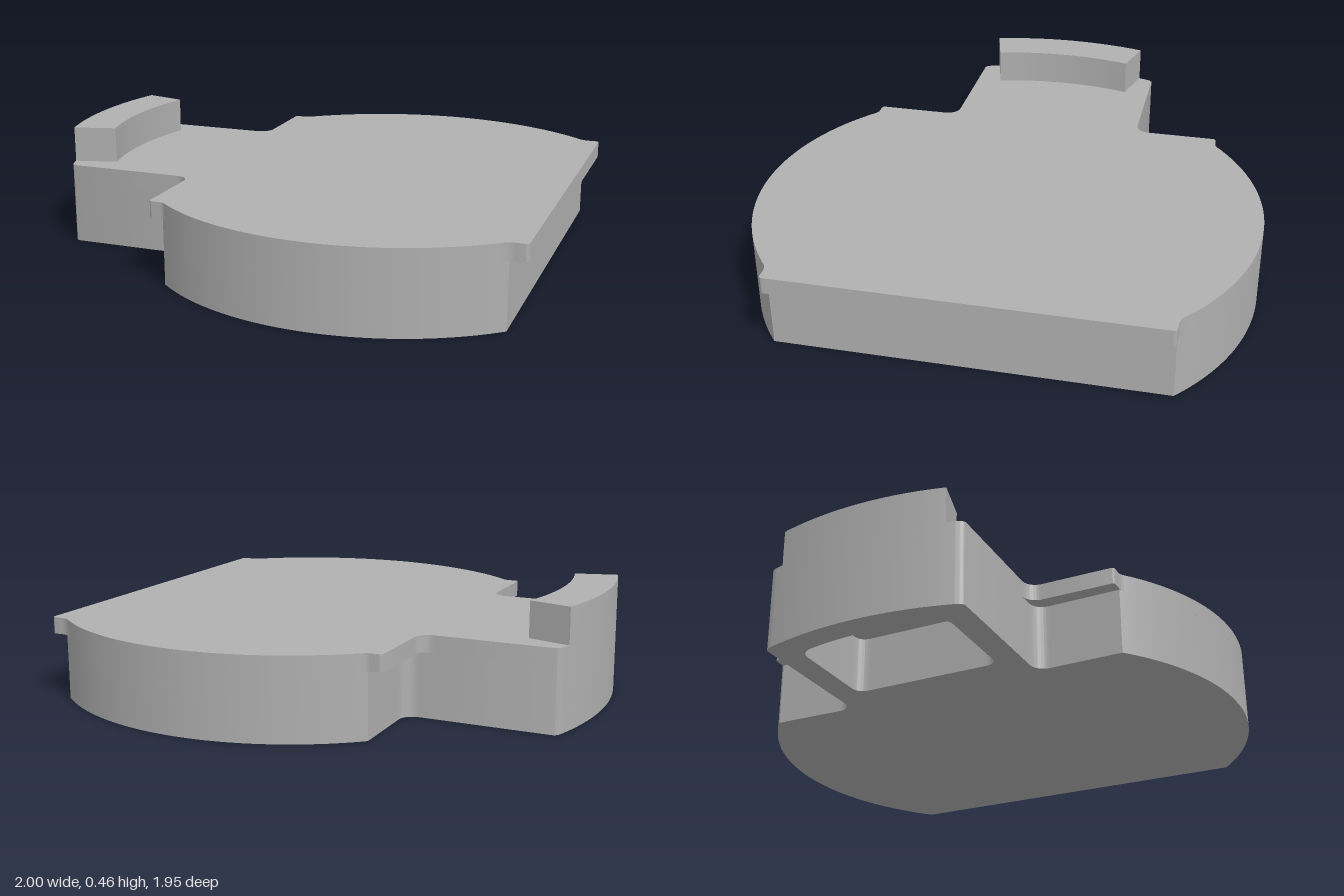
import * as THREE from 'three';
import { toCreasedNormals } from 'three/addons/utils/BufferGeometryUtils.js';

const CX = 0.29;      // shared centre of all arcs
const R = 0.977;      // round body
const R_OUT = 1.29;   // end of the arm
const ARM = 0.395;    // half width of the arm
const FILLET = 0.055;

// Outline drawn in x and z: a round body cut straight at both sides, plus the arm
function outline(x0, x1, lip) {
  const s = new THREE.Shape();
  const a = lip ? 0.872 : 0.85;
  const z = 0.737, r = 0.015;
  if (lip) {
    s.moveTo(x1, -z + r);
    s.lineTo(x1, z - r);
    s.quadraticCurveTo(x1, z, x1 - r, z);
    s.lineTo(x1 - 0.045, z);
    s.quadraticCurveTo(x1 - 0.06, z, CX + R * Math.cos(a), R * Math.sin(a));
  } else {
    s.moveTo(CX + R * Math.cos(a), -R * Math.sin(a));
    s.lineTo(CX + R * Math.cos(a), R * Math.sin(a));
  }
  s.absarc(CX, 0, R, a, Math.PI - a, false);
  if (lip) {
    s.quadraticCurveTo(x0 + 0.06, z, x0 + 0.045, z);
    s.lineTo(x0 + r, z);
    s.quadraticCurveTo(x0, z, x0, z - r);
  }
  // Arm with filleted roots and a curved end
  s.lineTo(x0, ARM + FILLET);
  s.absarc(x0 - FILLET, ARM + FILLET, FILLET, 0, -Math.PI / 2, true);
  s.lineTo(-0.92, ARM);
  const b = 0.292;
  const ex = CX - R_OUT * Math.cos(b), ez = R_OUT * Math.sin(b);
  s.quadraticCurveTo(-0.936, ARM, ex, ez);
  s.absarc(CX, 0, R_OUT, Math.PI - b, Math.PI + b, false);
  s.quadraticCurveTo(-0.936, -ARM, -0.92, -ARM);
  s.lineTo(x0 - FILLET, -ARM);
  s.absarc(x0 - FILLET, -ARM - FILLET, FILLET, Math.PI / 2, 0, true);
  if (lip) {
    s.lineTo(x0, -z + r);
    s.quadraticCurveTo(x0, -z, x0 + r, -z);
    s.lineTo(x0 + 0.045, -z);
    s.quadraticCurveTo(x0 + 0.06, -z, CX - R * Math.cos(a), -R * Math.sin(a));
  }
  s.absarc(CX, 0, R, Math.PI + a, 2 * Math.PI - a, false);
  if (lip) {
    s.quadraticCurveTo(x1 - 0.06, -z, x1 - 0.045, -z);
    s.lineTo(x1 - r, -z);
    s.quadraticCurveTo(x1, -z, x1, -z + r);
  }
  s.closePath();
  return s;
}

// Pocket in the underside of the arm, with rounded corners
function pocket() {
  const p = new THREE.Path();
  const xi = -0.47, w = 0.295, r = 0.05, ro = 1.19, b = 0.205;
  const xo = CX - ro * Math.cos(0.25);
  p.moveTo(xi, -w + r);
  p.lineTo(xi, w - r);
  p.quadraticCurveTo(xi, w, xi - r, w);
  p.lineTo(xo + r, w);
  p.quadraticCurveTo(xo, w, CX - ro * Math.cos(b), ro * Math.sin(b));
  p.absarc(CX, 0, ro, Math.PI - b, Math.PI + b, false);
  p.quadraticCurveTo(xo, -w, xo + r, -w);
  p.lineTo(xi - r, -w);
  p.quadraticCurveTo(xi, -w, xi, -w + r);
  return p;
}

// Raised tab: a ring sector at the end of the arm
function tabShape() {
  const s = new THREE.Shape(), t = 0.262;
  s.absarc(CX, 0, R_OUT, Math.PI - t, Math.PI + t, false);
  s.absarc(CX, 0, 1.12, Math.PI + t, Math.PI - t, true);
  s.closePath();
  return s;
}

export function createModel() {
  const group = new THREE.Group();
  const grey = new THREE.MeshStandardMaterial({ color: 0xb0b0b0 });
  grey.name = 'grey';

  // Extrude a flat shape between two heights
  function layer(name, shape, y0, y1) {
    const geo = new THREE.ExtrudeGeometry(shape, { depth: y1 - y0, bevelEnabled: false, curveSegments: 40 });
    geo.rotateX(Math.PI / 2);
    geo.translate(0, y1, 0);
    const mesh = new THREE.Mesh(toCreasedNormals(geo, 0.5), grey);
    mesh.name = name;
    group.add(mesh);
  }

  const base = outline(-0.35, 0.935, false);
  base.holes.push(pocket());
  layer('lowerBody', base, 0, 0.22);
  layer('upperBody', outline(-0.35, 0.935, false), 0.22, 0.255);
  layer('topPlate', outline(-0.41, 1, true), 0.255, 0.32);
  layer('raisedTab', tabShape(), 0.32, 0.46);
  return group;
}
